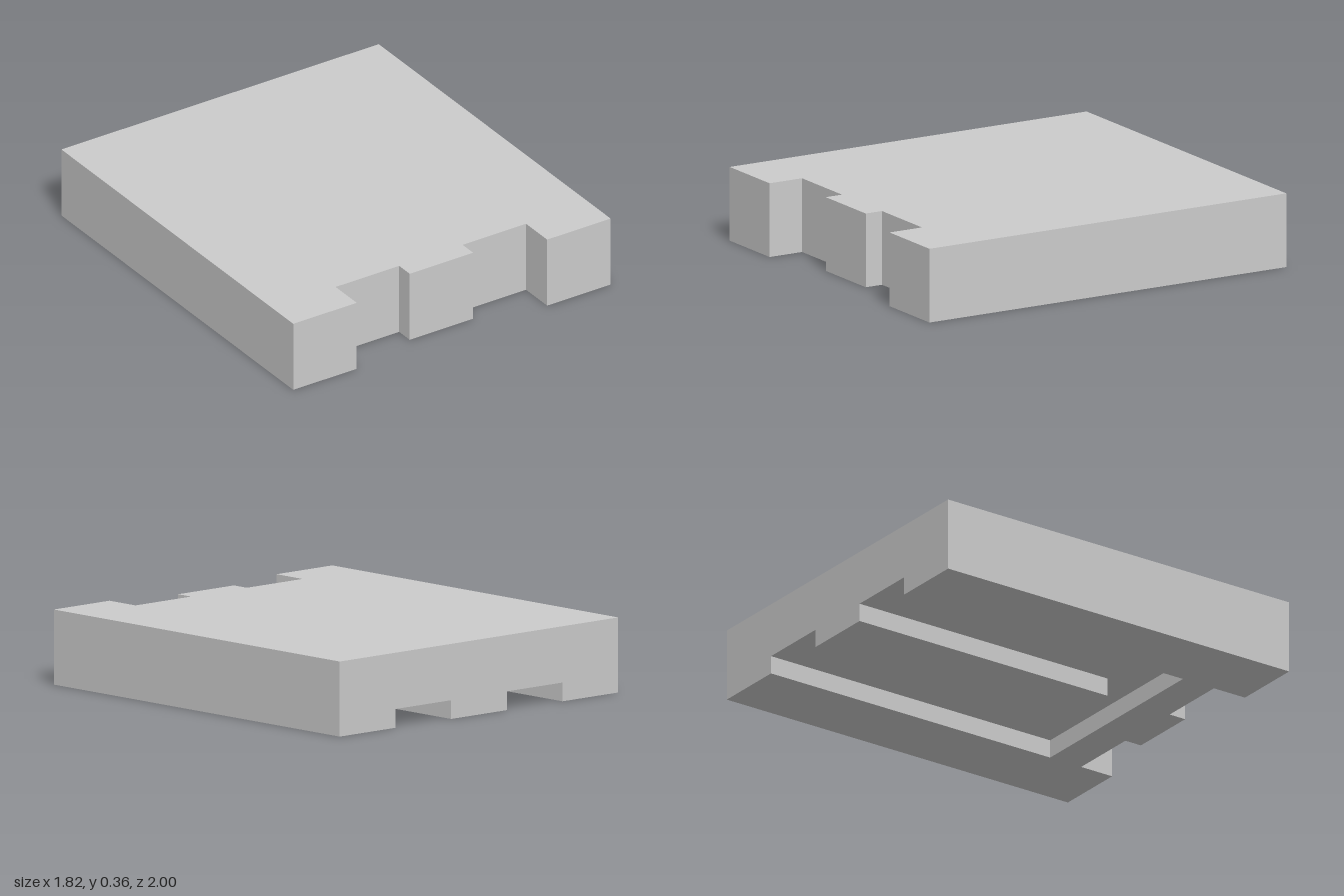
import * as THREE from 'three';

const U = 1 / 11; // module grid unit

export function createModel() {
  const group = new THREE.Group();
  group.name = 'notchedSlab';
  const material = new THREE.MeshStandardMaterial({ color: 0xcccccc, flatShading: true });

  // Extrudes an x/z outline (in grid units) between two heights
  const addLayer = (name, points, bottom, top) => {
    const shape = new THREE.Shape(points.map(([x, z]) => new THREE.Vector2(x * U, z * U)));
    const geometry = new THREE.ExtrudeGeometry(shape, { depth: (top - bottom) * U, bevelEnabled: false });
    geometry.rotateX(Math.PI / 2).translate(0, top * U, 0);
    const mesh = new THREE.Mesh(geometry, material);
    mesh.name = name;
    group.add(mesh);
  };

  // Mirrors a half outline (+x side) across x = 0
  const mirror = (half) => [...half, ...half.map(([x, z]) => [-x, z]).reverse()];

  // Front edge with corner blocks, two recesses and a centre tab
  const side = [[10, -11], [10, 11], [6, 11], [6, 9], [2, 9], [2, 10]];

  // Solid upper slab
  addLayer('topSlab', mirror(side), 1, 4);

  // Lower rim, open at the back around the U-shaped channel
  addLayer('lowerRim', mirror([[6, 7], [6, -11], ...side]), 0, 1);

  // Centre rail between the two arms of the channel
  addLayer('centreRail', mirror([[2, -11], [2, 5]]), 0, 1);

  return group;
}
